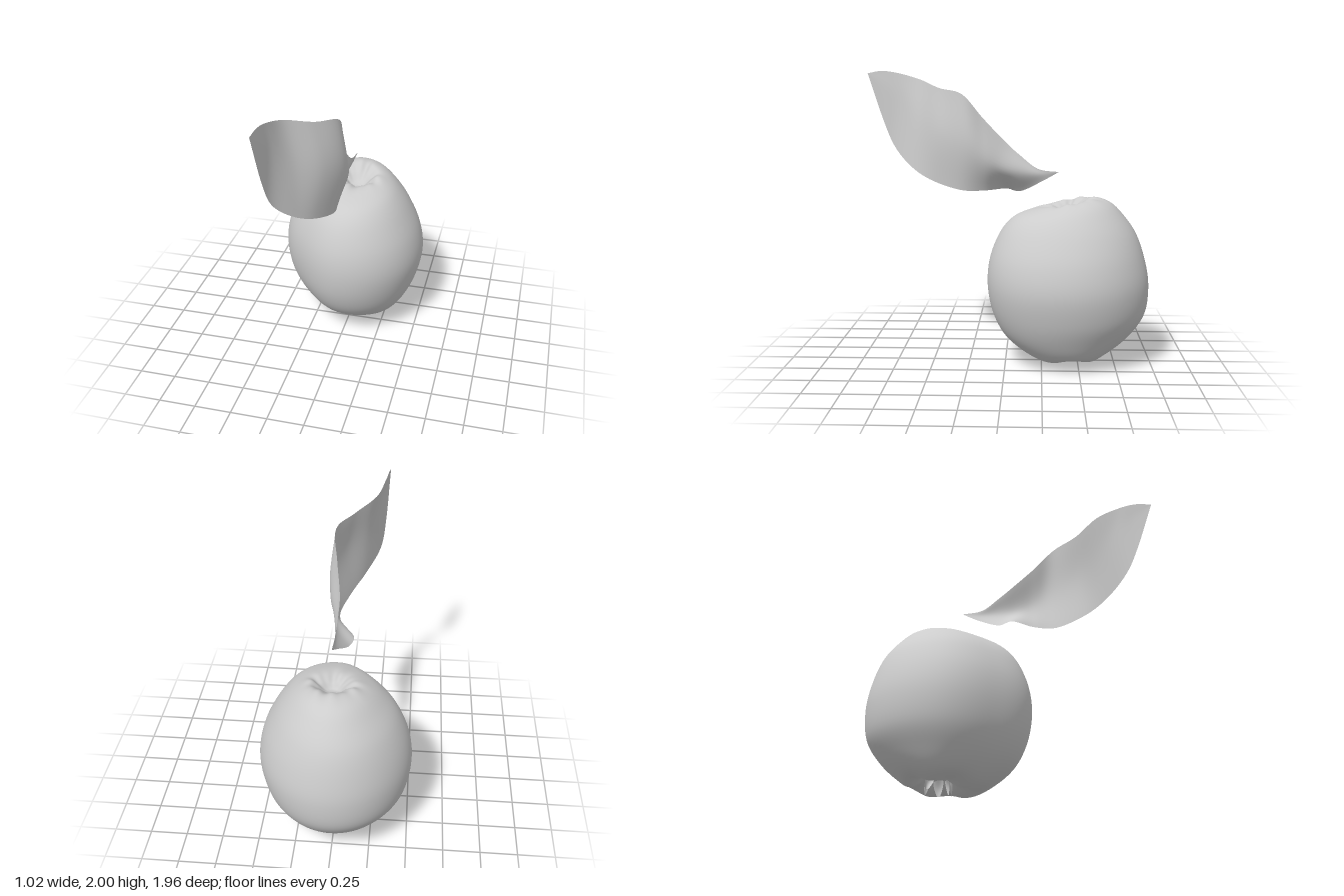
import * as THREE from 'three';

const V = (x, y, z) => new THREE.Vector3(x, y, z);
const spline = (pts, closed = false) => new THREE.CatmullRomCurve3(pts, closed, 'catmullrom', 0.5);

// Smooth surface from a rule point(u, v); wrapU joins the first and last columns.
function surface(point, nu, nv, wrapU = false) {
  const cols = wrapU ? nu : nu + 1;
  const pos = [], idx = [];
  for (let j = 0; j <= nv; j++)
    for (let i = 0; i < cols; i++) pos.push(...point(i / nu, j / nv).toArray());
  for (let j = 0; j < nv; j++)
    for (let i = 0; i < nu; i++) {
      const a = j * cols + i, b = j * cols + ((i + 1) % cols);
      idx.push(a, a + cols, b, b, a + cols, b + cols);
    }
  const g = new THREE.BufferGeometry();
  g.setAttribute('position', new THREE.Float32BufferAttribute(pos, 3));
  g.setIndex(idx);
  g.computeVertexNormals();
  return g;
}

// Fruit levels from the bottom pit to the top pit: y, x min, x max, z min, z max, rise towards the back
const LEVELS = [
  [0.14, 0.03, 0.03, -0.5, -0.5, 0],
  [0.13, -0.05, 0.11, -0.57, -0.43, 0],
  [0.085, -0.11, 0.17, -0.63, -0.36, 0.01],
  [0.065, -0.2, 0.25, -0.69, -0.27, 0.015],
  [0.1, -0.31, 0.335, -0.76, -0.15, 0.02],
  [0.21, -0.4, 0.41, -0.87, 0.0, 0.01],
  [0.36, -0.48, 0.475, -0.96, 0.085, 0],
  [0.55, -0.51, 0.51, -0.98, 0.12, 0],
  [0.73, -0.485, 0.48, -0.95, 0.105, 0],
  [0.9, -0.41, 0.4, -0.89, 0.04, 0],
  [1.02, -0.31, 0.315, -0.8, -0.05, 0.01],
  [1.09, -0.22, 0.235, -0.71, -0.17, 0.025],
  [1.115, -0.14, 0.17, -0.6, -0.27, 0.03],
  [1.085, -0.08, 0.12, -0.52, -0.34, 0.02],
  [1.04, -0.03, 0.07, -0.46, -0.38, 0.01],
  [1.03, 0.02, 0.02, -0.42, -0.42, 0],
];

function fruitGeometry() {
  const centre = spline(LEVELS.map(([y, x0, x1, z0, z1]) => V((x0 + x1) / 2, y, (z0 + z1) / 2)));
  const size = spline(LEVELS.map(([, x0, x1, z0, z1, t]) => V((x1 - x0) / 2, t, (z1 - z0) / 2)));
  // Uneven outline, as a radius factor every 45 degrees from +x towards +z
  const outline = spline([1, 1.03, 1, 0.91, 1, 1.0, 1, 0.98].map((r) => V(r, 0, 0)), true);
  const bump = (v, at, width) => Math.exp(-(((v - at) / width) ** 2));
  return surface((u, v) => {
    const a = u * Math.PI * 2, c = centre.getPoint(v), s = size.getPoint(v);
    const r = outline.getPoint(u).x;
    // Puckered folds round both pits
    const top = bump(v, 0.83, 0.06) * (Math.sin(a * 7 + 1) + 0.6 * Math.sin(a * 11)) * 0.006;
    const base = bump(v, 0.18, 0.08) * Math.cos(a * 5 - 0.6) * 0.014;
    return V(
      c.x + Math.cos(a) * s.x * r,
      c.y - Math.sin(a) * s.y + top + base,
      c.z + Math.sin(a) * s.z * r,
    );
  }, 96, 90, true);
}

// Leaf edges and midrib, from the stalk end to the tip
const STALK = [0.03, 1.32, -0.36], TIP = [-0.27, 1.985, 0.98];
const UPPER = [STALK, [0.02, 1.34, -0.22], [0.01, 1.43, -0.1], [0.01, 1.52, 0], [0.04, 1.68, 0.15],
  [0.06, 1.84, 0.29], [-0.05, 1.88, 0.45], [-0.19, 1.94, 0.6], [-0.24, 1.985, 0.76], [-0.26, 2, 0.88], TIP];
const MIDRIB = [STALK, [0.02, 1.3, -0.24], [0.03, 1.31, -0.1], [0.05, 1.34, 0.02], [0.085, 1.41, 0.14],
  [0.09, 1.51, 0.28], [0, 1.58, 0.46], [-0.14, 1.66, 0.61], [-0.22, 1.78, 0.74], [-0.25, 1.87, 0.86], TIP];
const LOWER = [STALK, [0, 1.25, -0.24], [-0.06, 1.18, -0.1], [-0.085, 1.195, 0], [0, 1.19, 0.14],
  [0.03, 1.195, 0.3], [-0.04, 1.25, 0.5], [-0.13, 1.33, 0.65], [-0.22, 1.46, 0.78], [-0.25, 1.64, 0.865], TIP];

function leafGeometry() {
  const [up, mid, low] = [UPPER, MIDRIB, LOWER].map((p) => spline(p.map((q) => V(...q))));
  return surface((u, v) =>
    spline([up.getPoint(u), mid.getPoint(u), low.getPoint(u)]).getPoint(v), 70, 16);
}

// Sepals under the fruit: base x, z, tip x, y, z, half width, direction of the width
const SEPALS = [
  [0.01, -0.41, 0.01, 0.0, -0.4, 0.03, 0],
  [0.07, -0.44, 0.1, 0.035, -0.43, 0.03, 0.6],
  [0.1, -0.5, 0.13, 0.03, -0.5, 0.035, 1.5],
  [0.06, -0.56, 0.07, 0.03, -0.58, 0.035, 2.8],
  [0, -0.53, -0.03, 0.04, -0.55, 0.03, 2.2],
];

function sepalGeometry([bx, bz, tx, ty, tz, w, a]) {
  return surface((u, v) => {
    const half = w * (1 - 0.75 * v * v) * (2 * u - 1);
    const curl = 0.012 * Math.sin(v * Math.PI) * (1 - (2 * u - 1) ** 2);
    return V(
      bx + (tx - bx) * v + Math.cos(a) * half + Math.sin(a) * curl,
      0.135 + (ty - 0.135) * v,
      bz + (tz - bz) * v - Math.sin(a) * half + Math.cos(a) * curl,
    );
  }, 6, 8);
}

export function createModel() {
  const grey = new THREE.MeshStandardMaterial({ color: 0xcccccc, side: THREE.DoubleSide });
  grey.name = 'plainGrey';
  const model = new THREE.Group();
  model.name = 'fruitWithLeaf';
  const add = (name, geometry, parent = model) => {
    const mesh = new THREE.Mesh(geometry, grey);
    mesh.name = name;
    parent.add(mesh);
  };

  add('fruit', fruitGeometry());
  add('leaf', leafGeometry());

  const calyx = new THREE.Group();
  calyx.name = 'calyx';
  model.add(calyx);
  SEPALS.forEach((s, i) => add(`sepal${i + 1}`, sepalGeometry(s), calyx));
  return model;
}
